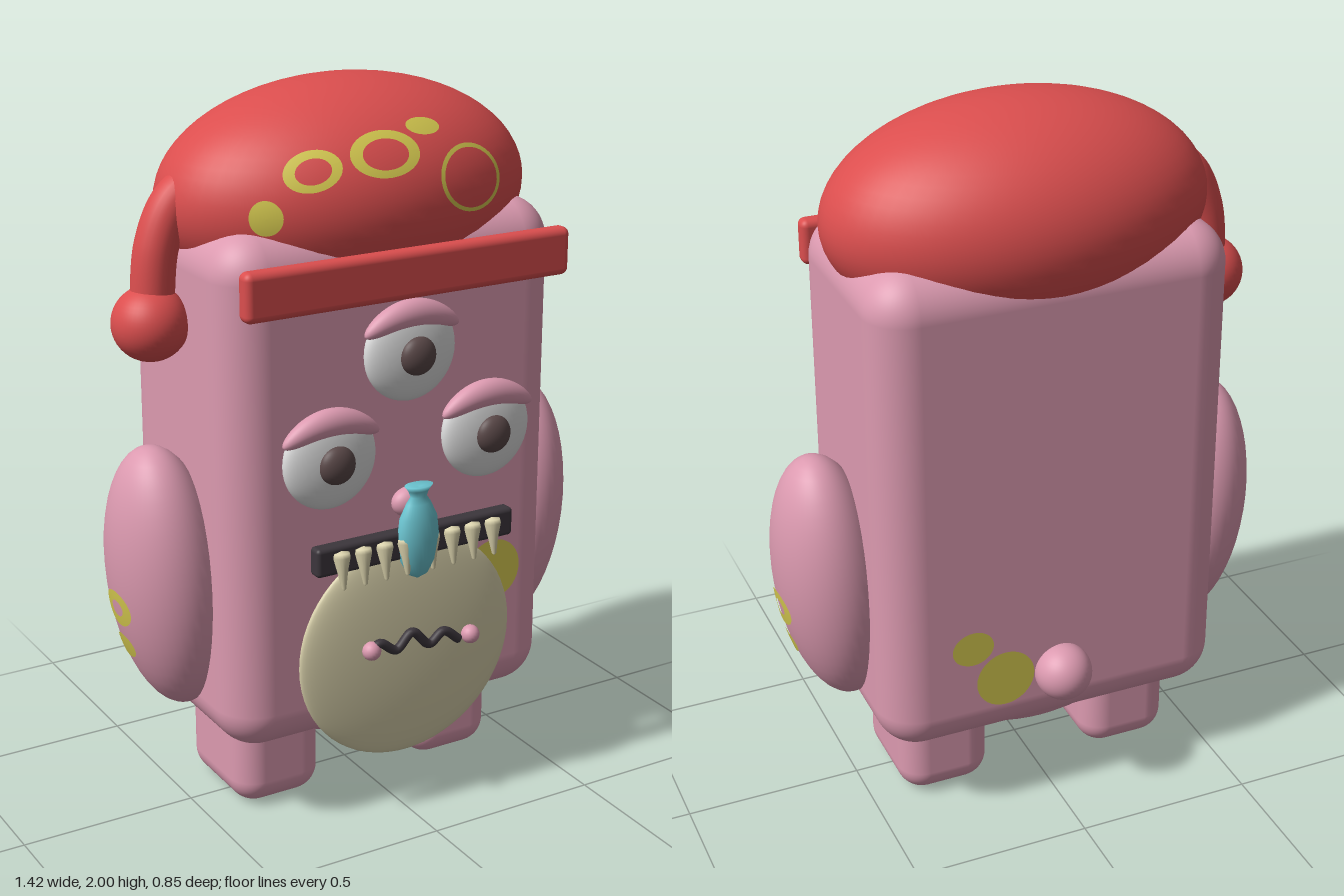
import * as THREE from 'three';
import { RoundedBoxGeometry } from 'three/addons/geometries/RoundedBoxGeometry.js';

const paint = (name, color) => Object.assign(new THREE.MeshStandardMaterial({ color }), { name });

export function createModel() {
  const pink = paint('pink', 0xdc9ab0);
  const red = paint('red', 0xdb4e4e);
  const yellow = paint('yellow', 0xd6ca50);
  const cream = paint('cream', 0xdad2ac);
  const white = paint('white', 0xdedede);
  const brown = paint('brown', 0x5a4848);
  const dark = paint('charcoal', 0x3c363c);
  const cyan = paint('cyan', 0x6cc6d2);

  const model = new THREE.Group();
  model.name = 'monster';

  function add(name, geometry, material, x = 0, y = 0, z = 0, parent = model) {
    const mesh = new THREE.Mesh(geometry, material);
    mesh.name = name;
    mesh.position.set(x, y, z);
    parent.add(mesh);
    return mesh;
  }
  const ellipsoid = (a, b, c, n = 48) => new THREE.SphereGeometry(1, n, n / 2).scale(a, b, c);
  const box = (w, h, d, r) => new RoundedBoxGeometry(w, h, d, 6, r);

  // Thin spot or ring, optionally laid on the +z side of an ellipsoid [a, b, c]
  function spot(cx, cy, rx, ry, inner = 0, tilt = 0, surface = null) {
    const g = new THREE.RingGeometry(inner, 1, 36, 6).scale(rx, ry, 1).rotateZ(tilt).translate(cx, cy, 0);
    if (!surface) return g;
    const [a, b, c] = surface;
    const p = g.attributes.position;
    for (let i = 0; i < p.count; i++) {
      const x = p.getX(i), y = p.getY(i);
      p.setZ(i, c * Math.sqrt(Math.max(0, 1 - (x / a) ** 2 - (y / b) ** 2)) + 0.004);
    }
    g.computeVertexNormals();
    return g;
  }

  // Body, underside and tail
  add('body', box(1.01, 1.425, 0.62, 0.12), pink, 0, 0.957, -0.013);
  add('underside', ellipsoid(0.42, 0.29, 0.29), pink, 0, 0.42, -0.015);
  add('tail', ellipsoid(0.08, 0.08, 0.08), pink, 0, 0.44, -0.343);
  add('frontSpot', spot(0, 0, 0.09, 0.09), yellow, 0.3, 0.64, 0.3);
  add('largeBackSpot', spot(0, 0, 0.085, 0.085), yellow, 0.165, 0.45, -0.326).rotation.y = Math.PI;
  add('smallBackSpot', spot(0, 0, 0.06, 0.052), yellow, 0.26, 0.57, -0.326).rotation.y = Math.PI;

  // Legs and arms
  for (const side of [-1, 1]) {
    const label = side > 0 ? 'left' : 'right';
    add(label + 'Leg', box(0.265, 0.33, 0.34, 0.075), pink, side * 0.282, 0.17, -0.02);

    const arm = new THREE.Group();
    arm.name = label + 'Arm';
    arm.position.set(side * 0.55, 0.695, -0.007);
    arm.rotation.z = -side * 0.11;
    model.add(arm);
    add(label + 'ArmShape', ellipsoid(0.155, 0.378, 0.192), pink, 0, 0, 0, arm);
    const surface = [0.192, 0.378, 0.155];
    const marks = [spot(0.01, -0.04, 0.062, 0.052, 0.45, 0, surface), spot(0, -0.16, 0.046, 0.036, 0, 0, surface)];
    for (const g of marks) add(label + 'ArmSpot', g, yellow, 0, 0, 0, arm).rotation.y = side * Math.PI / 2;
  }

  // Hat with spots, band, drooping end and bobble
  const hatSize = [0.53, 0.3, 0.347];
  const hat = new THREE.Group();
  hat.name = 'hat';
  hat.position.set(0, 1.7, -0.012);
  model.add(hat);
  add('hatDome', ellipsoid(...hatSize, 64), red, 0, 0, 0, hat);
  const hatSpots = [
    [-0.365, 0.005, 0.037, 0.045, 0, 0],
    [-0.245, 0.115, 0.075, 0.046, 0.62, 0.3],
    [-0.05, 0.143, 0.098, 0.054, 0.66, 0.05],
    [0.085, 0.195, 0.052, 0.019, 0, -0.08],
    [0.205, 0.057, 0.11, 0.085, 0.88, -0.2],
  ];
  for (const s of hatSpots) add('hatSpot', spot(...s, hatSize), yellow, 0, 0, 0, hat);
  add('hatBand', box(0.97, 0.13, 0.052, 0.02), red, 0, 1.54, 0.333);
  const droop = new THREE.CatmullRomCurve3([
    new THREE.Vector3(-0.42, 1.77, 0), new THREE.Vector3(-0.5, 1.715, 0),
    new THREE.Vector3(-0.55, 1.61, 0), new THREE.Vector3(-0.57, 1.44, 0),
  ]);
  add('hatDroop', new THREE.TubeGeometry(droop, 32, 0.058, 24), red, 0, 0, -0.005);
  add('hatBobble', ellipsoid(0.102, 0.1, 0.102), red, -0.577, 1.408, 0);

  // Three eyes with drooping lids
  const lid = ellipsoid(0.142, 0.04, 0.034);
  const lp = lid.attributes.position;
  for (let i = 0; i < lp.count; i++) lp.setY(i, lp.getY(i) - 2 * lp.getX(i) ** 2);
  lid.computeVertexNormals();
  for (const [x, y] of [[0, 1.335], [-0.24, 1.08], [0.24, 1.08]]) {
    add('eyeball', ellipsoid(0.136, 0.136, 0.045), white, x, y, 0.334);
    add('pupil', ellipsoid(0.052, 0.052, 0.032), brown, x, y - 0.005, 0.374);
    add('eyelid', lid, pink, x, y + 0.1, 0.345);
  }

  // Nose, mouth and teeth
  add('nose', ellipsoid(0.055, 0.042, 0.035), pink, 0, 0.92, 0.345);
  add('mouth', box(0.61, 0.08, 0.044, 0.012), dark, 0, 0.815, 0.364);
  const toothProfile = [[0, -0.055], [0.006, -0.05], [0.015, 0], [0.024, 0.035], [0.022, 0.047], [0, 0.052]]
    .map(([x, y]) => new THREE.Vector2(x, y));
  const tooth = new THREE.LatheGeometry(toothProfile, 16);
  for (const side of [-1, 1])
    for (const x of [0.04, 0.105, 0.17, 0.235])
      add('tooth', tooth, cream, side * x, 0.79, 0.393).rotation.x = -0.15;

  // Small fish hanging over the mouth
  const fishProfile = [[0, 0.715], [0.03, 0.73], [0.052, 0.77], [0.062, 0.83], [0.055, 0.89], [0.036, 0.93],
    [0.024, 0.948], [0.03, 0.965], [0.042, 0.98], [0, 0.974]].map(([x, y]) => new THREE.Vector2(x, y));
  add('fish', new THREE.LatheGeometry(fishProfile, 32).scale(1, 1, 0.6), cyan, 0, 0, 0.386);

  // Belly with a wavy line ending in two beads
  add('belly', ellipsoid(0.332, 0.32, 0.038, 64), cream, 0, 0.5, 0.332);
  const wave = new THREE.CatmullRomCurve3([
    [-0.14, 0.53], [-0.11, 0.545], [-0.06, 0.515], [-0.01, 0.555], [0.045, 0.508], [0.09, 0.535], [0.14, 0.5],
  ].map(([x, y]) => new THREE.Vector3(x, y, 0.378)));
  add('bellyLine', new THREE.TubeGeometry(wave, 60, 0.013, 12), dark);
  add('bellyBead', ellipsoid(0.026, 0.026, 0.026, 24), pink, -0.135, 0.528, 0.375);
  add('bellyBead', ellipsoid(0.026, 0.026, 0.026, 24), pink, 0.18, 0.504, 0.375);

  return model;
}
